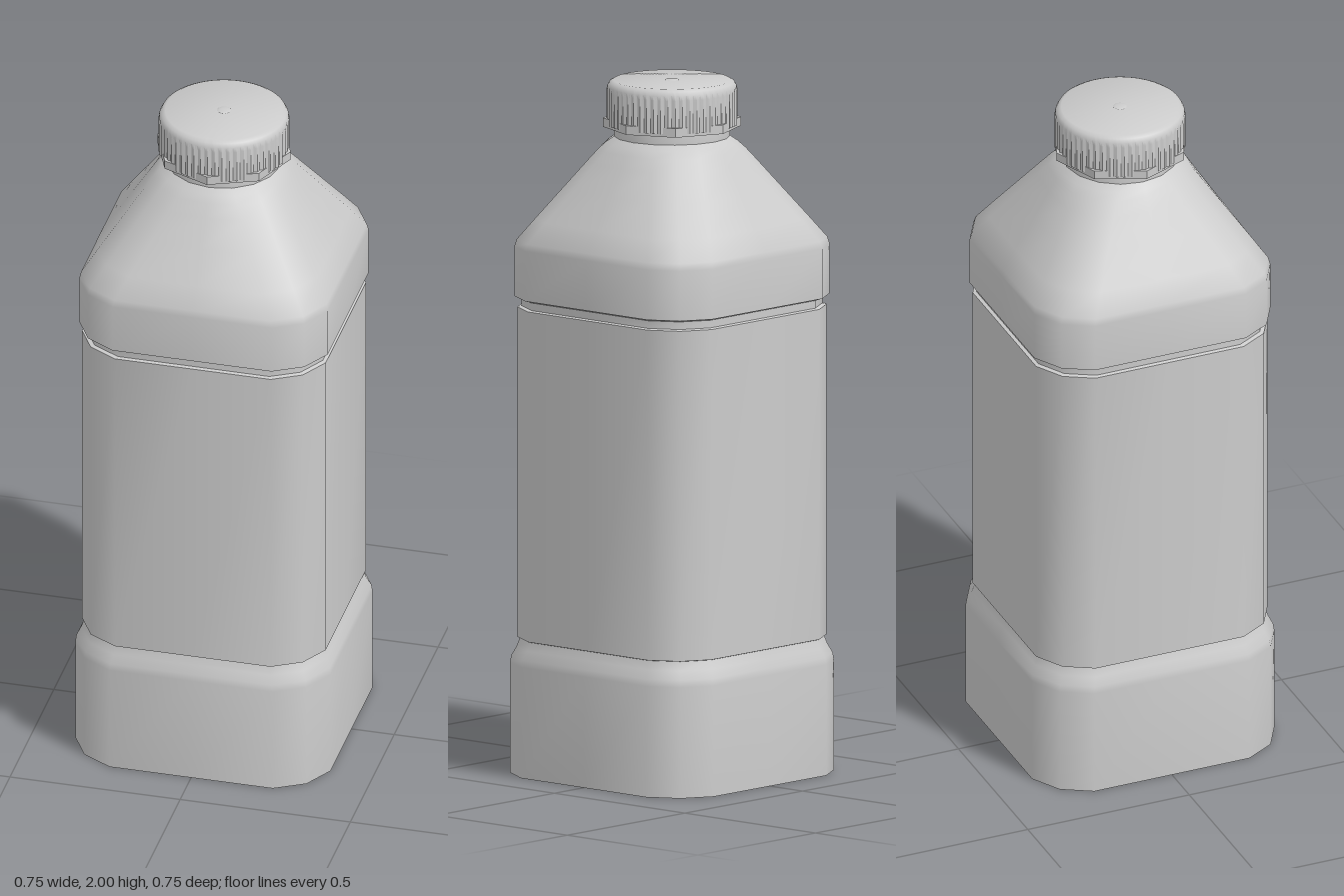
import * as THREE from 'three';
import { toCreasedNormals } from 'three/addons/utils/BufferGeometryUtils.js';

const material = new THREE.MeshStandardMaterial({ color: 0xcccccc });
const SIDES = 16;
const QUARTER = [[0, 1], [0.64, 1], [0.87, 0.87], [1, 0.64]];

// Unit outline: 0 = square with bevelled corners, 1 = circle, 2 = octagon
function outline(j, shape) {
  const turn = Math.floor((j % SIDES) / 4) * Math.PI / 2;
  const [qx, qz] = QUARTER[j % 4];
  const sx = qx * Math.cos(turn) + qz * Math.sin(turn);
  const sz = qz * Math.cos(turn) - qx * Math.sin(turn);
  const angle = j * Math.PI * 2 / SIDES;
  const r = shape === 2 && j % 2 ? Math.cos(Math.PI / 8) : 1;
  const k = Math.min(shape, 1);
  return [sx + (r * Math.sin(angle) - sx) * k, sz + (r * Math.cos(angle) - sz) * k];
}

// Skin over levels of [y, half width, shape], listed so that faces point outwards
function loft(levels, crease) {
  const positions = [], index = [];
  for (const [y, half, shape] of levels) {
    for (let j = 0; j < SIDES; j++) {
      const [x, z] = outline(j, shape);
      positions.push(x * half, y, z * half);
    }
  }
  for (let i = 0; i < levels.length - 1; i++) {
    for (let j = 0; j < SIDES; j++) {
      const a = i * SIDES + j, b = i * SIDES + (j + 1) % SIDES;
      if (levels[i][1] > 0) index.push(a, b, b + SIDES);
      if (levels[i + 1][1] > 0) index.push(a, b + SIDES, a + SIDES);
    }
  }
  const geometry = new THREE.BufferGeometry();
  geometry.setAttribute('position', new THREE.Float32BufferAttribute(positions, 3));
  geometry.setIndex(index);
  return toCreasedNormals(geometry, crease);
}

function add(group, name, geometry) {
  const mesh = new THREE.Mesh(geometry, material);
  mesh.name = name;
  group.add(mesh);
  return mesh;
}

export function createModel() {
  const model = new THREE.Group();
  model.name = 'bottle';

  // Bottle: recessed underside, wide foot, label panel, groove, shoulder, neck
  add(model, 'bottleBody', loft([
    [0.03, 0, 2], [0.025, 0.06, 2], [0, 0.21, 2],
    [0, 0.375, 0], [0.32, 0.375, 0], [0.34, 0.372, 0], [0.365, 0.36, 0], [0.39, 0.352, 0],
    [0.392, 0.358, 0], [1.345, 0.358, 0], [1.348, 0.348, 0], [1.37, 0.348, 0],
    [1.376, 0.365, 0], [1.52, 0.365, 0], [1.54, 0.361, 0.02],
    [1.6, 0.324, 0.12], [1.69, 0.267, 0.32], [1.765, 0.219, 0.55], [1.8, 0.197, 0.72],
    [1.82, 0.182, 0.87], [1.835, 0.165, 1], [1.88, 0.165, 1], [1.9, 0.16, 1],
  ], 0.75));

  // Eight-sided collar under the cap
  add(model, 'collar', loft([
    [1.862, 0.15, 2], [1.862, 0.196, 2], [1.888, 0.196, 2], [1.888, 0.15, 2],
  ], 0.3));

  // Cap with a ribbed wall and rounded top edge
  const profile = [[0, 1.87], [0.185, 1.87], [0.185, 1.966], [0.184, 1.98], [0.178, 1.991], [0.167, 1.997], [0, 1.997]];
  const cap = new THREE.LatheGeometry(profile.map(([r, y]) => new THREE.Vector2(r, y)), 224);
  const p = cap.attributes.position;
  for (let i = 0; i < p.count; i++) {
    const x = p.getX(i), z = p.getZ(i);
    if (p.getY(i) > 1.97 || Math.hypot(x, z) < 0.18) continue;
    const s = 1 + 0.011 * Math.cos(56 * Math.atan2(x, z));
    p.setX(i, x * s);
    p.setZ(i, z * s);
  }
  add(model, 'cap', toCreasedNormals(cap, 0.6));

  // Small moulding marks in the middle of the cap and of the underside
  const mark = new THREE.SphereGeometry(0.02, 16, 8, 0, Math.PI * 2, 0, Math.PI / 2).scale(1, 0.2, 1);
  add(model, 'capMark', mark).position.y = 1.996;
  const baseMark = add(model, 'baseMark', mark);
  baseMark.position.y = 0.029;
  baseMark.rotation.x = Math.PI;

  return model;
}
